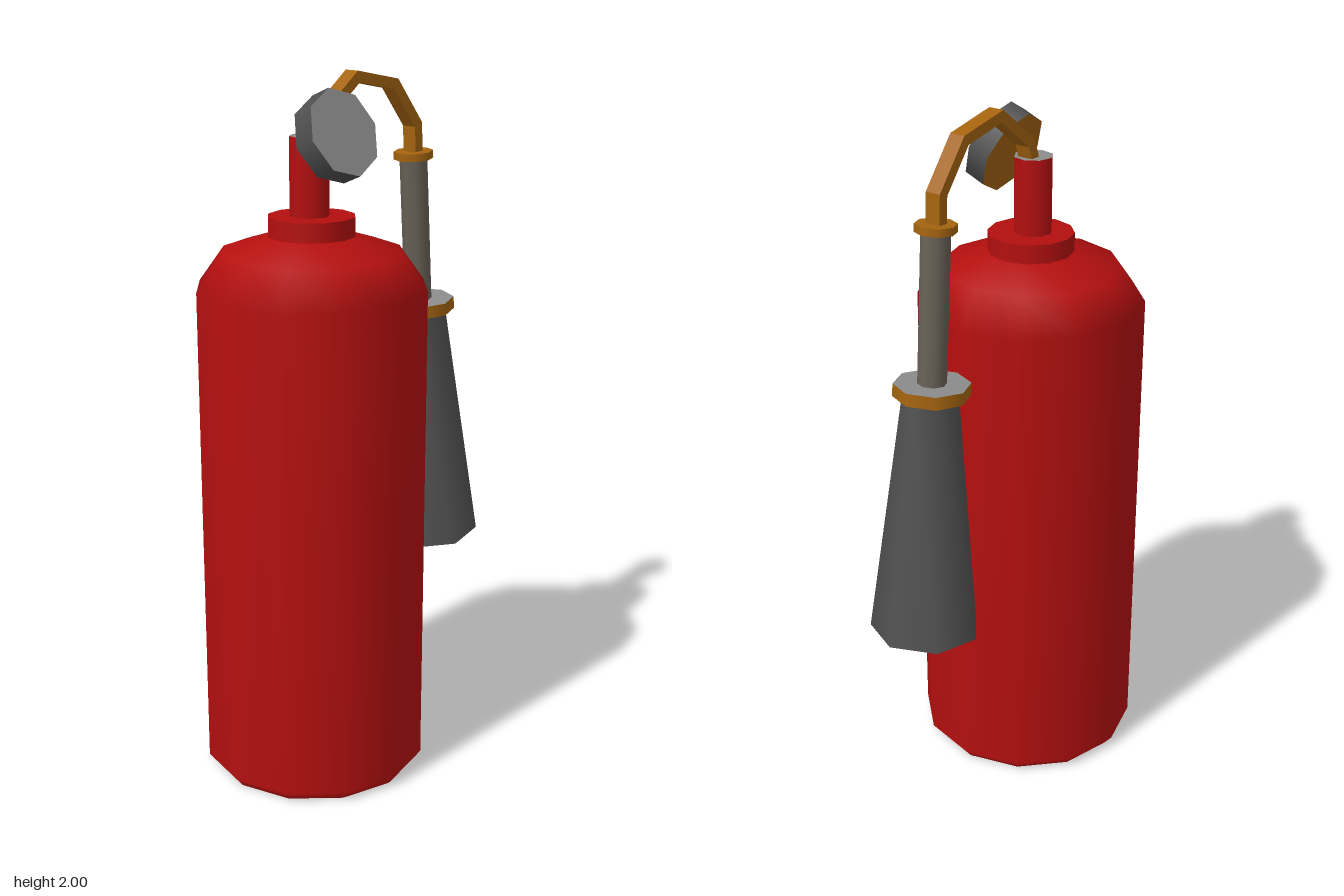
import * as THREE from 'three';
import { toCreasedNormals } from 'three/addons/utils/BufferGeometryUtils.js';

export function createModel() {
  const mat = (name, color, side = THREE.FrontSide) => {
    const m = new THREE.MeshStandardMaterial({ color, side });
    m.name = name;
    return m;
  };
  const red = mat('red paint', 0xb40f0f);
  const brass = mat('brass', 0xa5640f);
  const dark = mat('dark grey', 0x505050);
  const grey = mat('light grey', 0x8c8c8c);
  const grip = mat('grip taupe', 0x686156);

  const model = new THREE.Group();
  model.name = 'fireExtinguisher';

  const add = (parent, name, geometry, material, x = 0, y = 0, z = 0) => {
    const mesh = new THREE.Mesh(geometry, material);
    mesh.name = name;
    mesh.position.set(x, y, z);
    parent.add(mesh);
    return mesh;
  };
  const lathe = (points, sides, start) =>
    new THREE.LatheGeometry(points.map(([r, y]) => new THREE.Vector2(r, y)), sides, start);
  const disc = (top, bottom, height, sides, start = 0) =>
    new THREE.CylinderGeometry(top, bottom, height, sides, 1, false, start);

  // Tank with rounded shoulder and bevelled foot
  const tank = new THREE.Group();
  tank.name = 'tank';
  tank.position.set(-0.08, 0, 0.1);
  model.add(tank);
  const turn = -0.2;
  add(tank, 'tankShell', lathe([[0.3, 0], [0.324, 0.03], [0.324, 1.43], [0.252, 1.53], [0.1, 1.578]], 12, turn), red);
  const base = new THREE.CircleGeometry(0.3, 12);
  base.rotateX(Math.PI / 2);
  base.rotateY(turn);
  add(tank, 'tankBase', base, red);
  add(tank, 'collar', disc(0.122, 0.122, 0.06, 12, turn), red, 0, 1.595);
  add(tank, 'neck', disc(0.055, 0.055, 0.23, 8, 0.2), [red, grey, red], -0.005, 1.725);

  // Fittings lie in a diagonal plane: local x runs from the neck to the horn
  const fittings = new THREE.Group();
  fittings.name = 'fittings';
  fittings.position.set(-0.08, 0, 0.1);
  fittings.rotation.y = 0.83;
  model.add(fittings);

  // Pressure gauge, tilted upward
  const tilt = 0.39, depth = 0.065;
  const gauge = add(fittings, 'gauge', disc(0.122, 0.122, depth, 8, 0.1), [dark, grey, brass],
    0, 1.86 - Math.sin(tilt) * depth / 2, 0.125 - Math.cos(tilt) * depth / 2);
  gauge.rotation.x = Math.PI / 2 - tilt;

  // Flat bent pipe: mitred ribbon outline, extruded across
  const path = [[0, 1.8], [0.03, 1.885], [0.16, 1.985], [0.31, 1.955], [0.405, 1.835], [0.41, 1.74]]
    .map(([x, y]) => new THREE.Vector2(x, y));
  const half = 0.015, width = 0.046;
  const offsets = path.map((p, i) => {
    const a = p.clone().sub(path[Math.max(i - 1, 0)]).normalize();
    const b = path[Math.min(i + 1, path.length - 1)].clone().sub(p).normalize();
    const t = a.clone().add(b).normalize();
    const ref = i ? a : b;
    return new THREE.Vector2(-t.y, t.x).multiplyScalar(half / t.dot(ref.length() ? ref : t));
  });
  const upper = path.map((p, i) => p.clone().add(offsets[i]));
  const lower = path.map((p, i) => p.clone().sub(offsets[i]));
  const pipe = new THREE.ExtrudeGeometry(new THREE.Shape([...lower, ...upper.reverse()]),
    { depth: width, bevelEnabled: false });
  pipe.translate(0, 0, -width / 2);
  add(fittings, 'pipe', pipe, brass);

  // Discharge horn, swung slightly outward
  const nozzle = new THREE.Group();
  nozzle.name = 'nozzle';
  nozzle.position.set(0.41, 1.75, 0);
  nozzle.rotation.z = 0.068;
  fittings.add(nozzle);
  add(nozzle, 'pipeRing', disc(0.057, 0.057, 0.022, 8), brass, 0, -0.003);
  add(nozzle, 'handle', disc(0.04, 0.04, 0.44, 8), grip, 0, -0.23);
  add(nozzle, 'hornRing', disc(0.106, 0.106, 0.036, 8), [brass, grey, grey], 0, -0.448);
  const horn = lathe([[0.065, -0.465], [0.143, -1.175], [0.158, -1.175], [0.08, -0.465]], 7, Math.PI / 2);
  add(nozzle, 'horn', toCreasedNormals(horn, 1.1), dark);

  return model;
}
